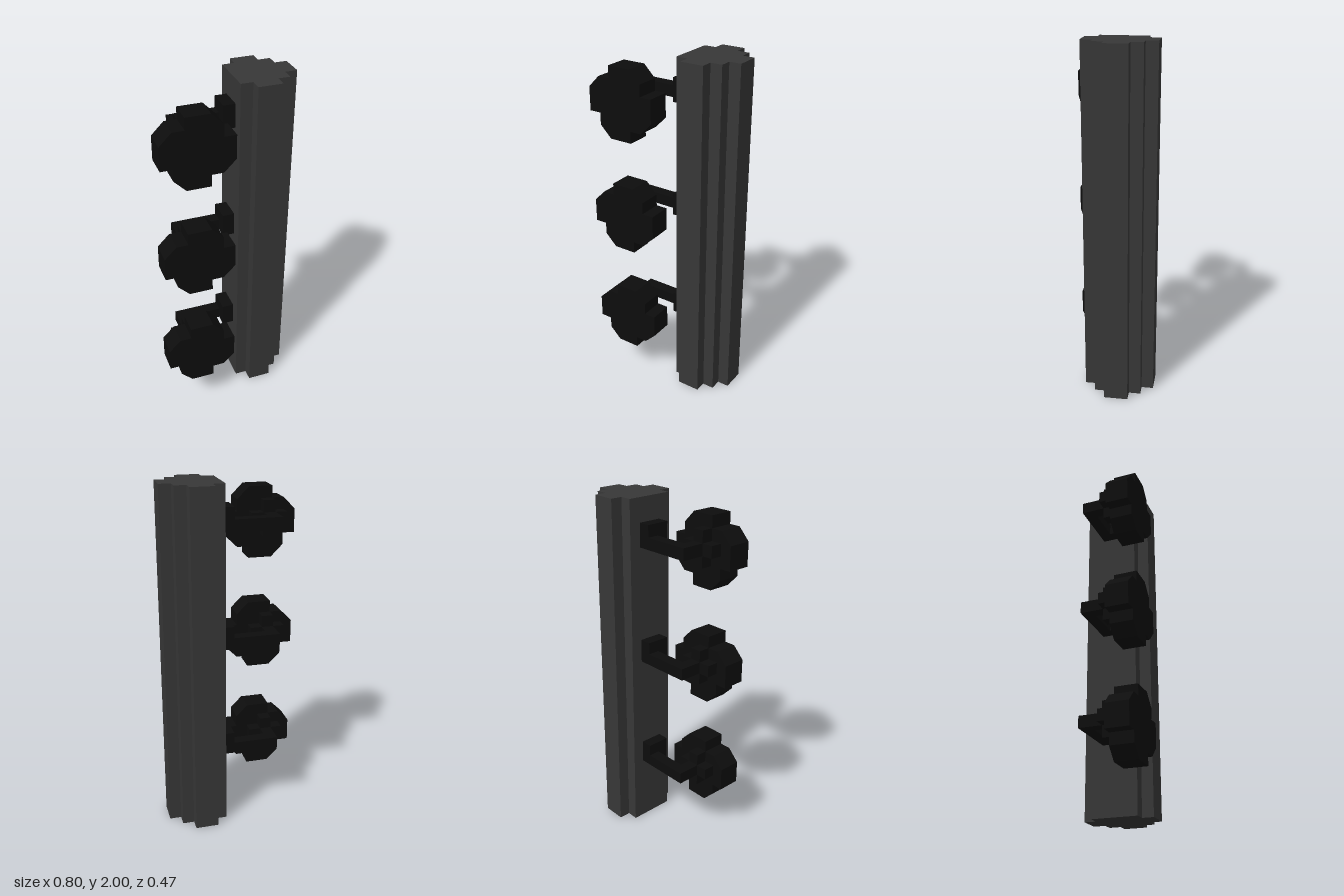
import * as THREE from 'three';

const U = 1 / 15; // one block

const poleMat = new THREE.MeshStandardMaterial({ color: 0x373737 });
poleMat.name = 'dark grey';
const lampMat = new THREE.MeshStandardMaterial({ color: 0x0d0d0d });
lampMat.name = 'black';

// Box given by its min and max corners, in blocks
function block(name, mat, min, max) {
  const size = max.map((v, i) => (v - min[i]) * U);
  const mesh = new THREE.Mesh(new THREE.BoxGeometry(...size), mat);
  mesh.position.set(...max.map((v, i) => ((v + min[i]) / 2) * U));
  mesh.name = name;
  return mesh;
}

// Extruded outline, points in blocks
function prism(name, mat, points, depth) {
  const shape = new THREE.Shape(points.map(([x, y]) => new THREE.Vector2(x * U, y * U)));
  const geo = new THREE.ExtrudeGeometry(shape, { depth: depth * U, bevelEnabled: false });
  const mesh = new THREE.Mesh(geo, mat);
  mesh.name = name;
  return mesh;
}

// Stepped round outline: each corner is repeated by quarter turns
function steppedRound(corner) {
  const pts = [];
  for (let q = 0, c = 1, s = 0; q < 4; q++, [c, s] = [-s, c]) {
    for (const [x, y] of corner) pts.push([x * c - y * s, x * s + y * c]);
  }
  return pts;
}

const discOutline = steppedRound([[3, -1], [3, 1], [2, 1], [2, 2], [1, 2]].slice(0, 4));
const plusOutline = steppedRound([[1.5, -0.5], [1.5, 0.5], [0.5, 0.5]]);

// Signal lamp with its bracket; y = 0 is the disc centre
function createLamp() {
  const lamp = new THREE.Group();
  lamp.name = 'lamp';
  const disc = prism('lampDisc', lampMat, discOutline, 2);
  disc.position.set(-3 * U, 0, 1.5 * U);
  const hub = prism('lampHub', lampMat, plusOutline, 1);
  hub.position.set(-3.5 * U, 0.5 * U, 0.5 * U);
  lamp.add(
    disc,
    hub,
    block('mount', lampMat, [0, 0, -1.5], [1, 2, 0.5]),
    block('arm', lampMat, [-4, 0, -1.5], [0, 1, -0.5]),
    block('armEnd', lampMat, [-4, 0, -0.5], [-3, 1, 0.5])
  );
  return lamp;
}

export function createModel() {
  const model = new THREE.Group();
  model.name = 'signalPost';

  // Stepped pole with a flat side toward the lamps (outline in x and -z)
  const outline = [
    [1, -1.5], [2, -1.5], [2, -2.5], [4, -2.5], [4, -1.5], [5, -1.5], [5, -0.5], [6, -0.5],
    [6, 1.5], [5, 1.5], [5, 2.5], [4, 2.5], [4, 3.5], [2, 3.5], [2, 2.5], [1, 2.5],
  ];
  const pole = prism('pole', poleMat, outline, 30);
  pole.rotation.x = -Math.PI / 2;
  model.add(pole);

  // Three lamps up the pole
  for (const y of [6, 16, 26]) {
    const lamp = createLamp();
    lamp.position.y = y * U;
    model.add(lamp);
  }
  return model;
}
